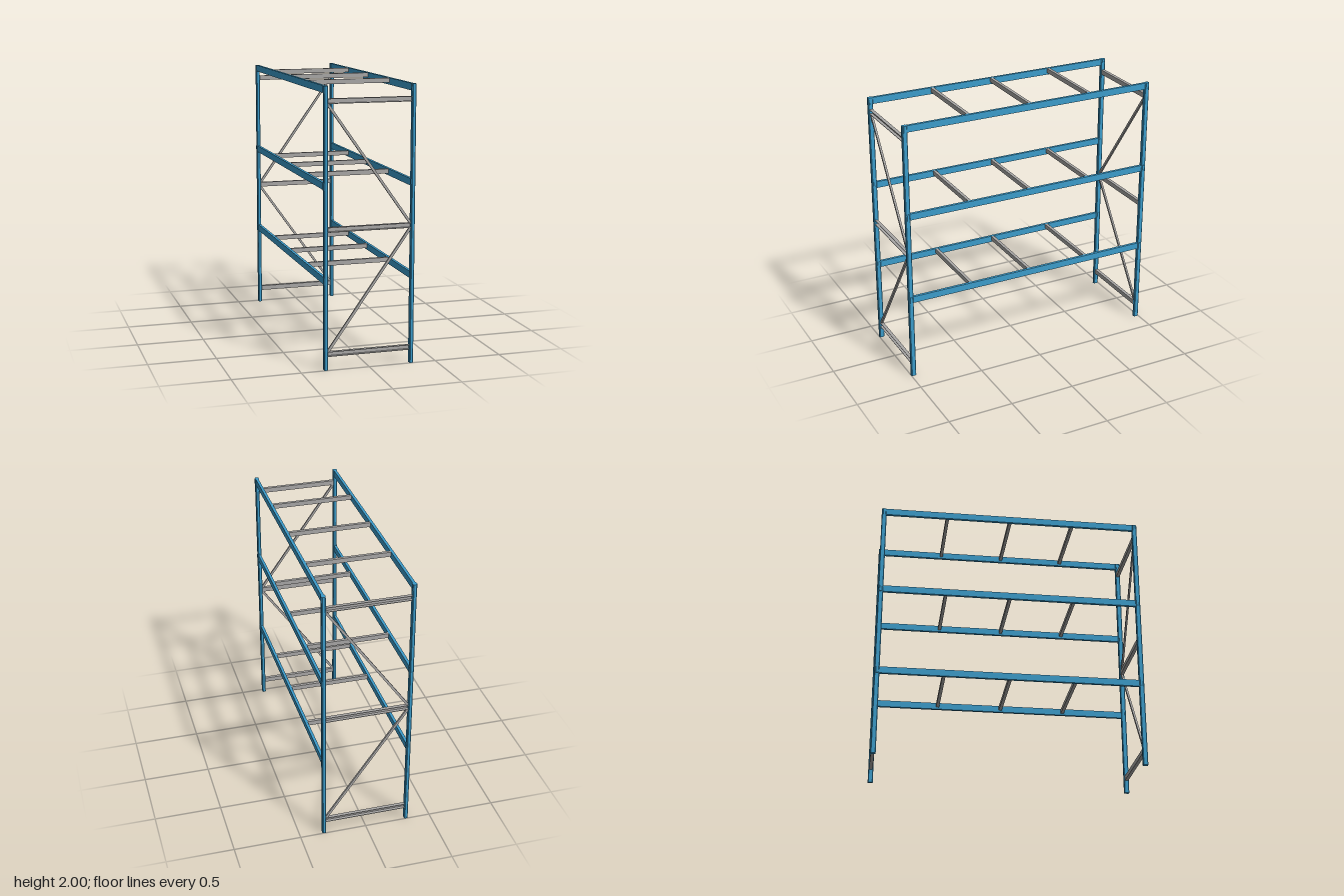
import * as THREE from 'three';

const blue = new THREE.MeshStandardMaterial({ color: 0x3c9ccb });
blue.name = 'blue steel';
const grey = new THREE.MeshStandardMaterial({ color: 0xa9a8a7 });
grey.name = 'galvanised grey';

// Rectangle with cut corners, extruded along y and starting at y = 0
function cutBar(w, d, h, c) {
  const a = w / 2, b = d / 2;
  const outline = [[-a + c, -b], [a - c, -b], [a, -b + c], [a, b - c],
    [a - c, b], [-a + c, b], [-a, b - c], [-a, -b + c]];
  const shape = new THREE.Shape(outline.map(([x, y]) => new THREE.Vector2(x, y)));
  return new THREE.ExtrudeGeometry(shape, { depth: h, bevelEnabled: false }).rotateX(-Math.PI / 2);
}

// Channel lying along x, with its open side facing +z
function channel(length, h, d, t) {
  const a = d / 2, b = h / 2;
  const outline = [[-a, -b], [a, -b], [a, -b + t], [-a + t, -b + t],
    [-a + t, b - t], [a, b - t], [a, b], [-a, b]];
  const shape = new THREE.Shape(outline.map(([x, y]) => new THREE.Vector2(x, y)));
  return new THREE.ExtrudeGeometry(shape, { depth: length, bevelEnabled: false })
    .translate(0, 0, -length / 2).rotateY(-Math.PI / 2);
}

function add(parent, name, geometry, material, x = 0, y = 0, z = 0) {
  const mesh = new THREE.Mesh(geometry, material);
  mesh.name = name;
  mesh.position.set(x, y, z);
  parent.add(mesh);
  return mesh;
}

// One upright end frame, facing +z
function endFrame(beamTops) {
  const frame = new THREE.Group();
  const post = cutBar(0.028, 0.038, 2, 0.005);
  const connector = cutBar(0.032, 0.03, 0.05, 0.006);
  for (const side of [-1, 1]) {
    add(frame, 'post', post, blue, side * 0.318, 0, 0.981);
    for (const top of beamTops) {
      add(frame, 'beamConnector', connector, blue, side * 0.319, top - 0.05, 0.98);
    }
  }
  // Horizontal rails
  const rail = channel(0.612, 0.036, 0.026, 0.004).rotateY(Math.PI);
  for (const y of [0.115, 1.005, 1.895]) {
    const mesh = add(frame, 'endRail', rail, grey, 0, y, 0.981);
    mesh.rotation.y = Math.PI;
  }
  // Zigzag braces
  for (const [yLeft, yRight] of [[0.13, 0.985], [1.875, 1.022]]) {
    const dy = yRight - yLeft;
    const brace = add(frame, 'brace', new THREE.BoxGeometry(Math.hypot(0.606, dy), 0.018, 0.015),
      grey, 0, (yLeft + yRight) / 2, 0.981);
    brace.rotation.z = Math.atan2(dy, 0.606);
  }
  return frame;
}

export function createModel() {
  const model = new THREE.Group();
  model.name = 'storageRack';
  const beamTops = [0.667, 1.333, 2];

  // The back frame is the front one turned half a circle
  const front = endFrame(beamTops);
  front.name = 'frontFrame';
  const back = endFrame(beamTops);
  back.name = 'backFrame';
  back.rotation.y = Math.PI;
  model.add(front, back);

  // Shelf levels: two long beams and three cross bars each
  const beam = new THREE.BoxGeometry(0.021, 0.05, 1.94);
  const bar = new THREE.BoxGeometry(0.62, 0.034, 0.024);
  for (const top of beamTops) {
    const level = new THREE.Group();
    level.name = 'shelfLevel';
    for (const side of [-1, 1]) add(level, 'longBeam', beam, blue, side * 0.319, top - 0.025, 0);
    for (const z of [-0.49, 0, 0.49]) add(level, 'crossBar', bar, grey, 0, top - 0.018, z);
    model.add(level);
  }
  return model;
}
